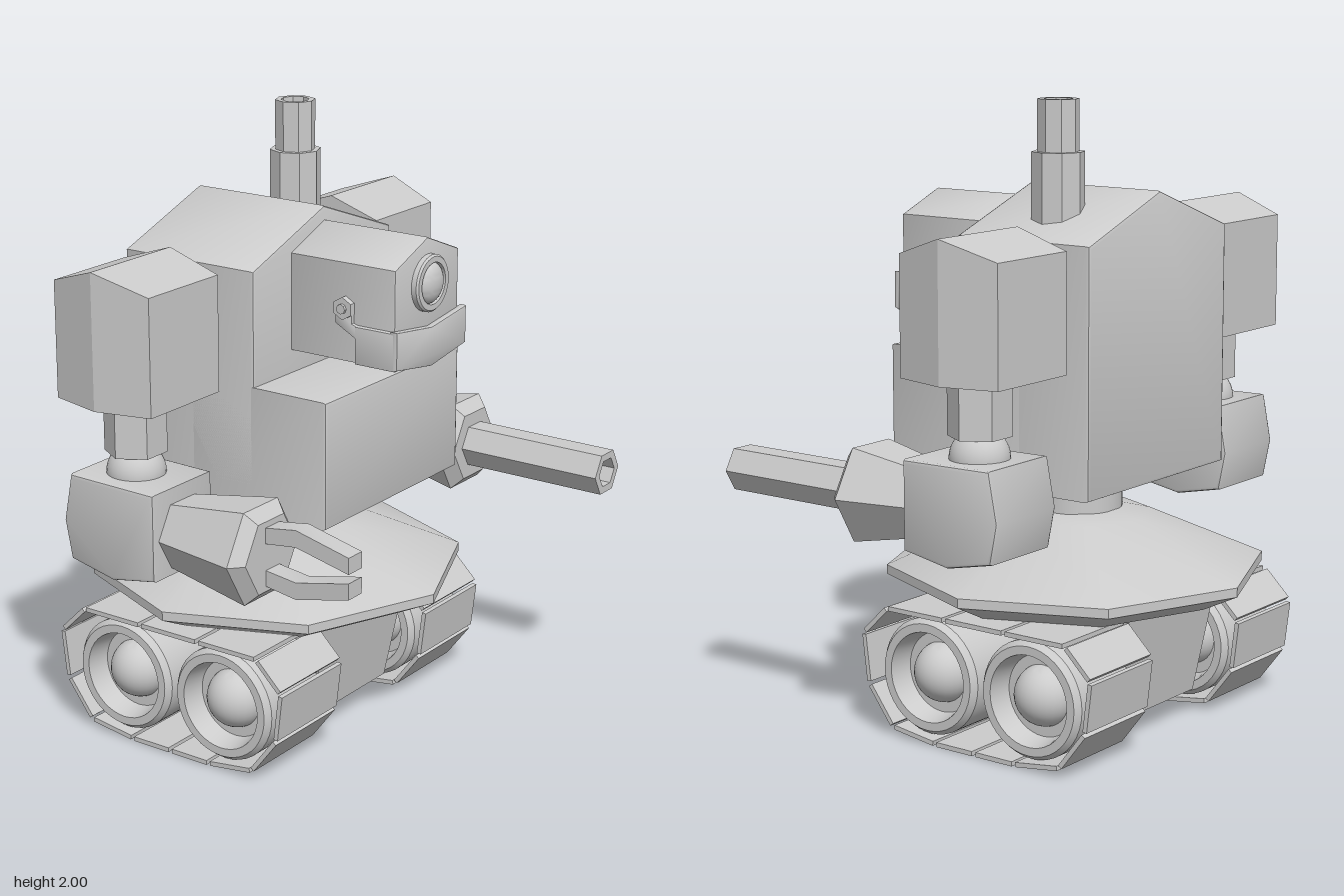
import * as THREE from 'three';
import { toCreasedNormals } from 'three/addons/utils/BufferGeometryUtils.js';

const material = new THREE.MeshStandardMaterial({ color: 0xcccccc });

function add(parent, name, geo, x = 0, y = 0, z = 0) {
  const mesh = new THREE.Mesh(toCreasedNormals(geo, 0.55), material);
  mesh.name = name;
  mesh.position.set(x, y, z);
  parent.add(mesh);
  return mesh;
}

// Bevelled prism along z, centred on z = 0, that keeps its outline size
function prism(points, depth, bevel = 0.012) {
  const shape = new THREE.Shape(points.map(([x, y]) => new THREE.Vector2(x, y)));
  const geo = new THREE.ExtrudeGeometry(shape, {
    depth: depth - 2 * bevel, bevelEnabled: bevel > 0, bevelThickness: bevel,
    bevelSize: bevel, bevelOffset: -bevel, bevelSegments: 2,
  });
  return geo.translate(0, 0, bevel - depth / 2);
}

// Prism running along x from x0 to x1; the outline is given as [z, y]
function prismX(points, x0, x1, bevel) {
  return prism(points, x1 - x0, bevel).rotateY(Math.PI / 2).translate((x0 + x1) / 2, 0, 0);
}

// House-shaped outline, symmetric about z = 0
const house = (w, base, eave, peak) => [[-w, base], [w, base], [w, eave], [0, peak], [-w, eave]];

function lathe(profile, sides) {
  return new THREE.LatheGeometry(profile.map(([r, y]) => new THREE.Vector2(r, y)), sides);
}
const latheX = (profile, sides) => lathe(profile, sides).rotateZ(-Math.PI / 2);
const ball = (r) => new THREE.SphereGeometry(r, 28, 20);

function buildTorso(root) {
  const torso = new THREE.Group();
  torso.name = 'torso';
  root.add(torso);
  add(torso, 'upperBody', prismX(house(0.373, 0.81, 1.585, 1.72), -0.45, 0.05));
  add(torso, 'lowerChest', prismX([[-0.373, 0.81], [0.373, 0.81], [0.373, 1.22], [-0.373, 1.22]], -0.2, 0.32));

  // Stepped chimney with an open top
  add(torso, 'chimneyBase', lathe([[0, 1.55], [0.083, 1.55], [0.083, 1.84], [0, 1.84]], 8), -0.195, 0, -0.183);
  add(torso, 'chimneyPipe', lathe([[0.065, 1.8], [0.065, 2], [0.046, 2], [0.046, 1.88], [0, 1.88]], 8), -0.195, 0, -0.183);
}

function buildHead(root) {
  const head = new THREE.Group();
  head.name = 'head';
  root.add(head);
  add(head, 'headBox', prismX(house(0.177, 1.295, 1.605, 1.675), 0.03, 0.435, 0.008));

  // Jaw: front plate with a shallow V, and two cheeks hung from bolts
  add(head, 'jawFront', prismX([[-0.195, 1.3], [0, 1.27], [0.195, 1.3], [0.195, 1.42], [0, 1.395], [-0.195, 1.42]], 0.43, 0.455, 0.004));
  for (const s of [1, -1]) {
    const cheek = [[0.3, 1.295], [0.445, 1.295], [0.445, 1.415], [0.3, 1.415]];
    add(head, 'jawCheek', prism(cheek, 0.03, 0.004), 0, 0, s * 0.18);
    const strap = [[0.225, 1.46], [0.225, 1.415], [0.3, 1.375], [0.3, 1.415], [0.285, 1.42], [0.285, 1.46]];
    add(head, 'jawStrap', prism(strap, 0.015, 0.002), 0, 0, s * 0.183);
    add(head, 'jawBolt', new THREE.CylinderGeometry(0.036, 0.036, 0.025, 6).rotateX(Math.PI / 2), 0.255, 1.465, s * 0.185);
    add(head, 'jawBoltHead', new THREE.CylinderGeometry(0.016, 0.016, 0.02, 8).rotateX(Math.PI / 2), 0.255, 1.465, s * 0.197);
  }

  // Single eye: raised ring and domed lens
  add(head, 'eyeRing', latheX([[0.09, 0.42], [0.09, 0.452], [0.084, 0.458], [0.066, 0.458], [0.066, 0.43]], 32), 0, 1.533, 0);
  add(head, 'eyeLens', ball(0.066).scale(0.55, 1, 1), 0.438, 1.533, 0);
}

function buildArm(root, s) {
  const arm = new THREE.Group();
  arm.name = s > 0 ? 'leftArm' : 'rightArm';
  root.add(arm);
  const x = -0.225, z = s * 0.612;
  add(arm, 'shoulderBall', ball(0.093), -0.21, 1.41, s * 0.37);

  // Shoulder block: top and outer faces are folded along the middle
  const block = new THREE.BoxGeometry(0.365, 0.37, 0.33, 2, 1, 1);
  const p = block.attributes.position;
  for (let i = 0; i < p.count; i++) {
    if (Math.abs(p.getX(i)) > 0.01) continue;
    if (p.getY(i) > 0) p.setY(i, p.getY(i) + 0.06);
    if (p.getZ(i) * s > 0) p.setZ(i, p.getZ(i) + s * 0.045);
  }
  const shoulder = add(arm, 'shoulderBlock', block, x, 1.39, s * 0.592);
  shoulder.geometry = toCreasedNormals(block, 0.1);

  add(arm, 'upperArm', new THREE.CylinderGeometry(0.098, 0.098, 0.2, 6), x, 1.13, z);
  add(arm, 'elbowBall', ball(0.093), x, 0.965, z);
  const elbow = [[-0.37, 0.965], [-0.045, 0.96], [-0.045, 0.68], [-0.21, 0.65], [-0.375, 0.685], [-0.4, 0.81]];
  add(arm, 'elbowBlock', prism(elbow, 0.29), 0, 0, z);

  // Flared hexagonal forearm
  const end = s > 0 ? 0.29 : 0.24;
  add(arm, 'forearm', latheX([[0, -0.06], [0.116, -0.06], [0.17, end - 0.038], [0.128, end], [0, end]], 6), 0, 0.806, z);

  if (s < 0) {
    // Hollow gun barrel
    add(arm, 'gunBarrel', latheX([[0.077, 0.2], [0.077, 0.75], [0.05, 0.75], [0.05, 0.4], [0, 0.4]], 6), 0, 0.806, z);
  } else {
    // Two-fingered claw
    for (const k of [1, -1]) {
      const finger = [[0.27, 0.04], [0.4, 0.056], [0.59, 0.014], [0.59, 0.066], [0.4, 0.11], [0.27, 0.09]]
        .map(([fx, fy]) => [fx, 0.805 + k * fy]);
      add(arm, 'clawFinger', prism(finger, 0.068, 0), 0, 0, 0.606);
    }
  }
}

function buildBase(root) {
  const base = new THREE.Group();
  base.name = 'base';
  root.add(base);
  add(base, 'waist', new THREE.CylinderGeometry(0.147, 0.147, 0.2, 32), -0.135, 0.74, 0);
  add(base, 'turntable', lathe([[0, 0.425], [0.49, 0.425], [0.612, 0.485], [0.612, 0.515], [0.24, 0.675], [0.15, 0.695], [0, 0.695]], 8), -0.135, 0, 0);

  // Hull tapering towards the ground
  const hull = new THREE.BoxGeometry(0.72, 0.345, 0.49);
  const p = hull.attributes.position;
  for (let i = 0; i < p.count; i++) {
    if (p.getY(i) < 0) p.setXYZ(i, p.getX(i) * 0.86, p.getY(i), p.getZ(i) * 0.8);
  }
  add(base, 'hull', hull, -0.15, 0.2575, 0);
}

function buildTrack(root, s) {
  const track = new THREE.Group();
  track.name = s > 0 ? 'leftTrack' : 'rightTrack';
  root.add(track);
  const z = s * 0.404;

  // Dished wheels with ball hubs
  const rim = [[0, -0.07], [0.13, -0.07], [0.145, -0.145], [0.172, -0.145], [0.187, -0.125],
    [0.187, 0.125], [0.172, 0.145], [0.145, 0.145], [0.13, 0.07], [0, 0.07]];
  for (const x of [-0.355, 0.04]) {
    add(track, 'wheel', lathe(rim, 40).rotateX(Math.PI / 2), x, 0.217, z);
    for (const k of [1, -1]) add(track, 'hub', ball(0.098), x, 0.217, z + k * 0.055);
  }

  // Belt of flat plates with small gaps, laid along a closed loop
  const half = [[0.155, 0.012], [0.325, 0.035], [0.42, 0.16], [0.44, 0.325], [0.345, 0.418], [0.115, 0.418]];
  const loop = [[0, 0.012], ...half, ...half.map(([x, y]) => [-x, y]).reverse()];
  loop.forEach(([x0, y0], i) => {
    const [x1, y1] = loop[(i + 1) % loop.length];
    const length = Math.hypot(x1 - x0, y1 - y0) - 0.014;
    const plate = add(track, 'trackPlate', new THREE.BoxGeometry(length, 0.015, 0.318), (x0 + x1) / 2 - 0.155, (y0 + y1) / 2, z);
    plate.position.y = Math.max(plate.position.y, 0.0085);
    plate.rotation.z = Math.atan2(y1 - y0, x1 - x0);
  });
}

export function createModel() {
  const root = new THREE.Group();
  root.name = 'trackedRobot';
  buildTorso(root);
  buildHead(root);
  buildBase(root);
  for (const s of [1, -1]) {
    buildArm(root, s);
    buildTrack(root, s);
  }
  return root;
}
